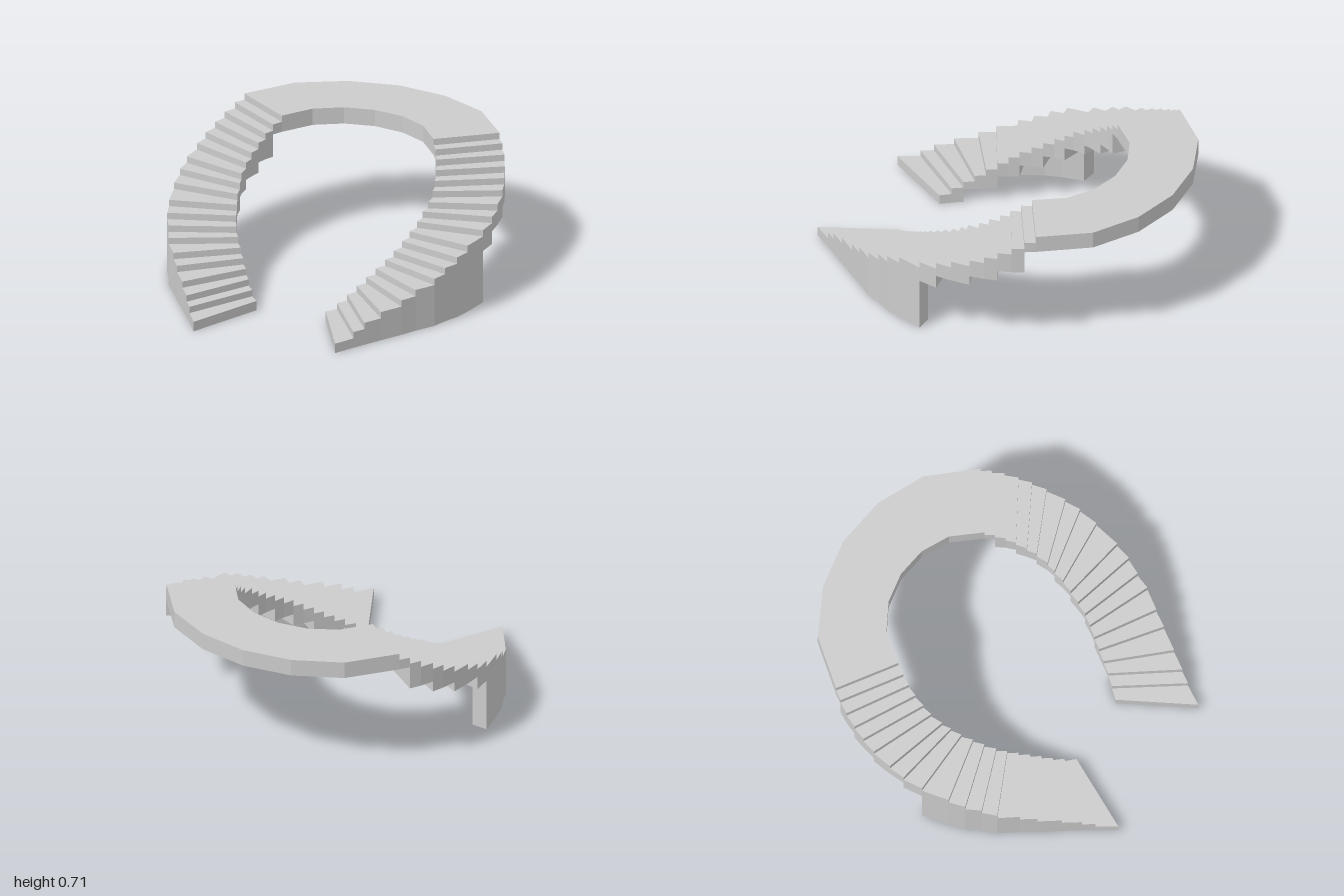
import * as THREE from 'three';

// Plan points [x, z] of every riser line, from the foot to the landing (+x flight)
const OUTER = [
  [0.41, 0.995], [0.475, 0.89], [0.515, 0.83], [0.575, 0.74], [0.65, 0.63], [0.70, 0.55], [0.77, 0.45],
  [0.80, 0.37], [0.84, 0.29], [0.865, 0.20], [0.895, 0.05], [0.905, -0.06], [0.90, -0.15], [0.885, -0.26],
  [0.865, -0.34], [0.84, -0.41], [0.81, -0.48], [0.775, -0.54], [0.74, -0.59],
];
const INNER = [
  [0.20, 0.60], [0.245, 0.55], [0.285, 0.50], [0.32, 0.45], [0.355, 0.40], [0.39, 0.35], [0.425, 0.30],
  [0.455, 0.25], [0.48, 0.19], [0.50, 0.13], [0.52, 0.07], [0.53, 0.01], [0.54, -0.04], [0.54, -0.11],
  [0.53, -0.165], [0.515, -0.225], [0.495, -0.28], [0.47, -0.33], [0.44, -0.38],
];
// Underside height of each step; the soffit climbs in broad jumps
const SOFFIT = [0, 0, 0.08, 0.08, 0.08, 0.155, 0.155, 0.225, 0.225, 0.30, 0.30,
  0.375, 0.375, 0.43, 0.43, 0.49, 0.49, 0.62];
const STEPS = 18;
const WALL_END = 10;
const TOP = 0.715;
const topOf = (k) => 0.055 + (k * (TOP - 0.055)) / STEPS;

const material = new THREE.MeshStandardMaterial({ color: 0xcccccc, flatShading: true });

// Upright prism over a plan outline
function prism(name, outline, bottom, top) {
  const shape = new THREE.Shape(outline.map(([x, z]) => new THREE.Vector2(x, -z)));
  const geometry = new THREE.ExtrudeGeometry(shape, { depth: top - bottom, bevelEnabled: false });
  geometry.rotateX(-Math.PI / 2).translate(0, bottom, 0);
  const mesh = new THREE.Mesh(geometry, material);
  mesh.name = name;
  return mesh;
}

// Inner edge of the supporting wall, which thins towards its rear end
function wallInner(k) {
  const t = THREE.MathUtils.mapLinear(k, 2, WALL_END, 0.38, 0.25);
  return [0, 1].map((i) => THREE.MathUtils.lerp(OUTER[k][i], INNER[k][i], t));
}

function createFlight(side, name) {
  const flight = new THREE.Group();
  flight.name = name;
  const mirror = (outline) => outline.map(([x, z]) => [side * x, z]);
  for (let k = 0; k < STEPS; k++) {
    const tread = [INNER[k], OUTER[k], OUTER[k + 1], INNER[k + 1]];
    flight.add(prism('step', mirror(tread), SOFFIT[k], topOf(k)));
    // Outer wall carrying the lower steps
    if (k >= 2 && k < WALL_END) {
      const base = [wallInner(k), OUTER[k], OUTER[k + 1], wallInner(k + 1)];
      flight.add(prism('supportWall', mirror(base), 0, SOFFIT[k]));
    }
  }
  return flight;
}

export function createModel() {
  const model = new THREE.Group();
  model.name = 'curvedDoubleStaircase';
  model.add(createFlight(1, 'leftFlight'), createFlight(-1, 'rightFlight'));

  // Curved landing joining the two flights at the back
  const outerArc = [OUTER[STEPS], [0.54, -0.83], [0.28, -0.957], [0, -1]];
  const innerArc = [INNER[STEPS], [0.32, -0.53], [0.17, -0.61], [0, -0.637]];
  const flip = ([x, z]) => [-x, z];
  model.add(prism('landing', [
    ...outerArc, ...outerArc.slice(0, 3).reverse().map(flip),
    ...innerArc.map(flip), ...innerArc.slice(0, 3).reverse(),
  ], 0.62, TOP));
  return model;
}
